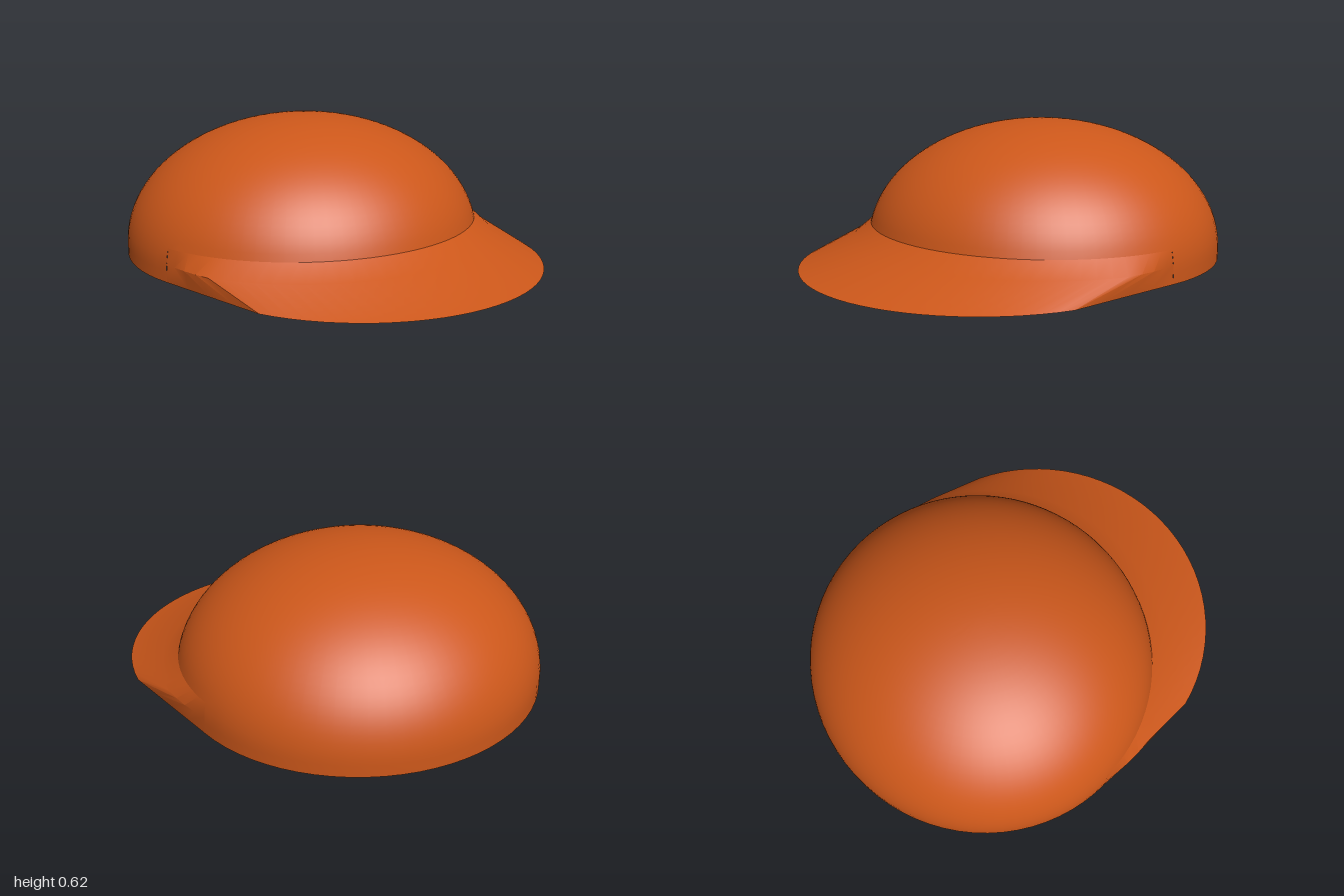
import * as THREE from 'three';
import { toCreasedNormals } from 'three/addons/utils/BufferGeometryUtils.js';

const DEG = Math.PI / 180;
const CX = -0.19, RX = 0.81, RZ = 0.835; // crown plan
const CY = 0.05, RY = 0.57;              // crown profile
const CORNER = 68, SIDE = 85;            // bill corner and bill end, degrees from +x
const SEAM = 0.145;                      // height where the bill joins the crown

// Crown surface: upright band below CY, half ellipsoid above
function crownPoint(deg, y) {
  const k = Math.sqrt(Math.max(0, 1 - (Math.max(0, y - CY) / RY) ** 2));
  return new THREE.Vector3(CX + RX * k * Math.cos(deg * DEG), y, RZ * k * Math.sin(deg * DEG));
}

// Outer edge of the bill: a round front, then straight sides back to the crown
function rimPoint(deg) {
  const arc = (d) => new THREE.Vector3(0.168 + 0.832 * Math.cos(d * DEG), 0, 0.832 * Math.sin(d * DEG));
  const a = Math.abs(deg), s = Math.sign(deg);
  if (a <= CORNER) return arc((deg / CORNER) * 71.7);
  return arc(s * 71.7).lerp(crownPoint(s * SIDE, 0), (a - CORNER) / (SIDE - CORNER));
}

// Crease between the bill and the fillet that rises to the crown
function creasePoint(deg) {
  const t = Math.max(0, (Math.abs(deg) - CORNER) / (SIDE - CORNER));
  const p = new THREE.Vector3(CX + 0.9 * Math.cos(deg * DEG), 0.08, 0.88 * Math.sin(deg * DEG));
  return p.lerp(crownPoint(deg, 0.08), t);
}

// Skin a grid of points given as bottom-to-top rows
function skin(rows) {
  const out = [];
  const tri = (...pts) => {
    const area = new THREE.Triangle(...pts).getArea();
    if (area > 1e-9) pts.forEach((p) => out.push(p.x, p.y, p.z));
  };
  for (let j = 0; j < rows.length - 1; j++) {
    for (let i = 0; i < rows[j].length - 1; i++) {
      const a = rows[j][i], b = rows[j][i + 1], c = rows[j + 1][i], d = rows[j + 1][i + 1];
      tri(a, c, b);
      tri(b, c, d);
    }
  }
  return out;
}

function span(from, to, steps) {
  return Array.from({ length: steps + 1 }, (_, i) => from + ((to - from) * i) / steps);
}

export function createModel() {
  const group = new THREE.Group();
  group.name = 'cap';
  const material = new THREE.MeshStandardMaterial({ color: 0xcc571a, side: THREE.DoubleSide });

  function add(name, positions, crease) {
    const geometry = new THREE.BufferGeometry();
    geometry.setAttribute('position', new THREE.Float32BufferAttribute(positions, 3));
    const mesh = new THREE.Mesh(toCreasedNormals(geometry, crease), material);
    mesh.name = name;
    group.add(mesh);
  }

  const front = span(-SIDE, SIDE, 40);
  const back = span(SIDE, 360 - SIDE, 40);
  const around = [...front, ...back.slice(1)];

  // Crown: full dome above the seam, with the band below it at the back only
  const start = Math.asin((SEAM - CY) / RY);
  const domeRows = span(start, Math.PI / 2, 24).map((e) => {
    const y = CY + RY * Math.sin(e);
    return around.map((d) => crownPoint(d, y));
  });
  const bandRows = [0, CY, 0.08, 0.11, SEAM].map((y) => back.map((d) => crownPoint(d, y)));
  add('crown', [...skin(domeRows), ...skin(bandRows)], 0.6);

  // Bill: sloping peak with side flaps and a fillet up to the crown
  const billRows = [
    front.map(rimPoint),
    front.map(creasePoint),
    front.map((d) => crownPoint(d, SEAM)),
  ];
  add('bill', skin(billRows), 0.6);

  return group;
}
